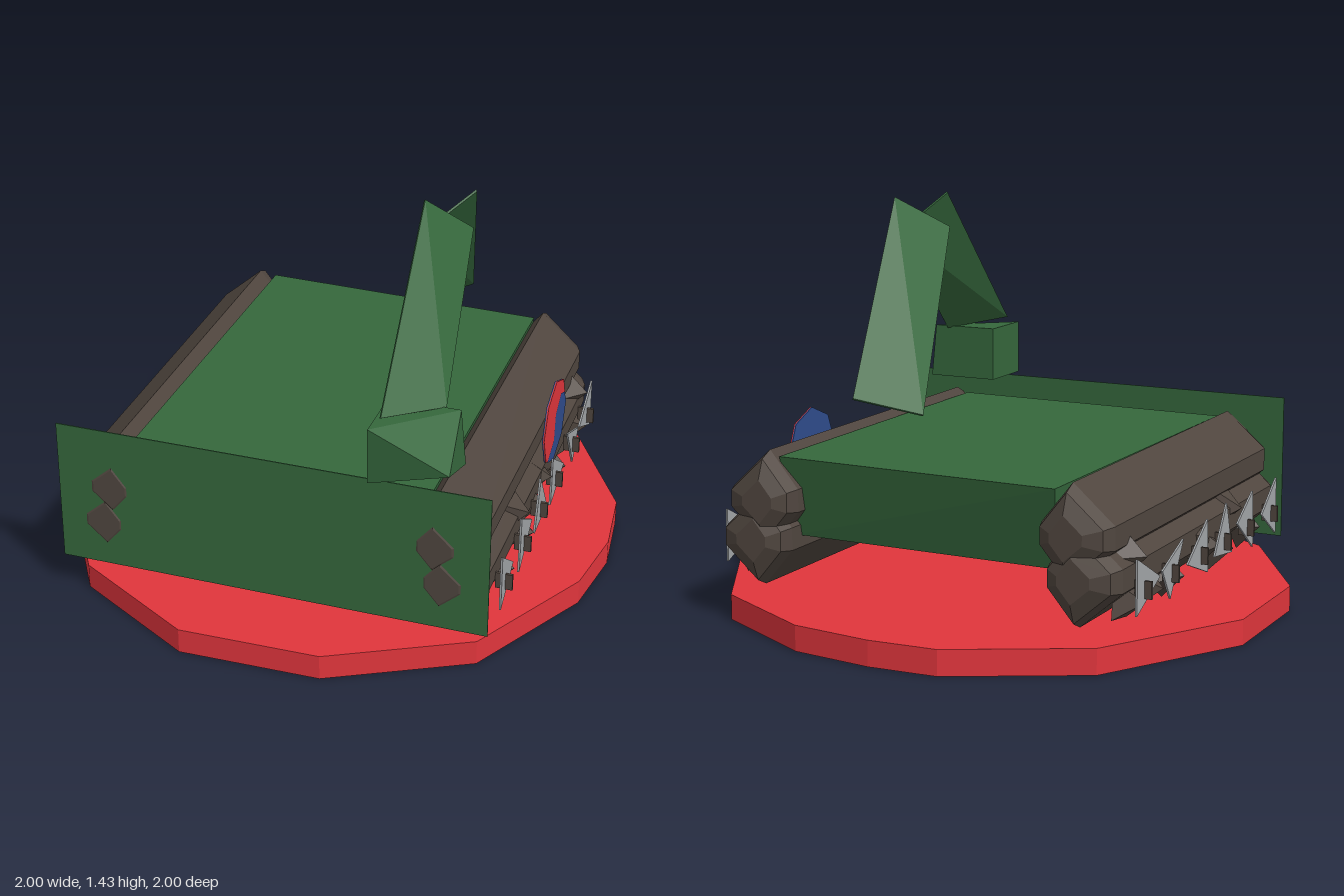
import * as THREE from 'three';
import { ConvexGeometry } from 'three/addons/geometries/ConvexGeometry.js';

const paint = (name, color) => {
  const m = new THREE.MeshStandardMaterial({ color, side: THREE.DoubleSide });
  m.name = name;
  return m;
};
const V = (p) => new THREE.Vector3(...p);
const hull = (pts) => new ConvexGeometry(pts.map(V));

export function createModel() {
  const model = new THREE.Group();
  model.name = 'trackedExcavator';
  const green = paint('bodyGreen', 0x35673c);
  const red = paint('baseRed', 0xe0353c);
  const brown = paint('trackBrown', 0x50463f);
  const grey = paint('plateGrey', 0xa2a5a8);
  const blue = paint('emblemBlue', 0x2f4c8c);

  const add = (name, geometry, material, pos = [0, 0, 0], parent = model) => {
    const mesh = new THREE.Mesh(geometry, material);
    mesh.name = name;
    mesh.position.set(...pos);
    parent.add(mesh);
    return mesh;
  };
  const polygon = (pts) => new THREE.Shape(pts.map(([a, b]) => new THREE.Vector2(a, b)));

  // Base: a low irregular disc
  const rim = [[-0.25, 0.99], [0, 1], [0.3, 0.96], [0.7, 0.74], [0.97, 0.27], [1, 0], [0.96, -0.28],
    [0.72, -0.74], [0.25, -0.99], [-0.25, -1], [-0.7, -0.74], [-1, -0.24], [-1, 0.23], [-0.7, 0.75]];
  const base = new THREE.ExtrudeGeometry(polygon(rim), { depth: 0.09, bevelEnabled: false });
  base.rotateX(-Math.PI / 2);
  add('base', base, red);

  // Body between the tracks, undercut at the back and front
  add('body', hull([
    [-0.53, 0.585, -0.71], [0.53, 0.585, -0.68], [0.53, 0.585, 0.71], [-0.54, 0.585, 0.69],
    [-0.5, 0.3, -0.64], [0.5, 0.3, -0.62], [0.5, 0.3, 0.64], [-0.5, 0.3, 0.64],
  ]), green);

  // Front blade
  add('blade', new THREE.BoxGeometry(1.54, 0.53, 0.004), green, [-0.01, 0.397, 0.758]);

  // Track bar: a faceted bar with a sharp ridge and tapered ends
  const rings = [[0.45, 0.763], [0.86, 0.735], [1, 0.685]];
  const trackBar = (inner, outer) => hull(rings.flatMap(([r, z]) =>
    [[0, 0.17], [outer, 0.03], [outer, -0.04], [0, -0.17], [-inner, -0.04], [-inner, 0.04]]
      .flatMap(([x, y]) => [[x * r, y * r, z], [x * r, y * r, -z]])));

  // Corners of the armour plates as [z, y]
  const plates = [
    [[0.65, 0.38], [0.65, 0.17], [0.5, 0.27]],
    [[0.4, 0.38], [0.41, 0.17], [0.25, 0.29]],
    [[0.14, 0.39], [0.2, 0.2], [0.03, 0.22]],
    [[-0.04, 0.37], [-0.03, 0.18], [-0.22, 0.25]],
    [[-0.26, 0.35], [-0.37, 0.17], [-0.44, 0.28]],
    [[-0.65, 0.37], [-0.65, 0.18], [-0.46, 0.27]],
  ];
  // Track studs as [z, y]
  const studs = [[0.48, 0.23], [0.29, 0.34], [0.21, 0.21], [0.08, 0.25], [-0.03, 0.3],
    [-0.25, 0.22], [-0.43, 0.22], [-0.57, 0.36], [-0.58, 0.21]];
  const studShape = new THREE.ConeGeometry(0.09, 0.09, 4).toNonIndexed();
  studShape.computeVertexNormals();

  for (const side of [-1, 1]) {
    const track = new THREE.Group();
    track.name = side > 0 ? 'leftTrack' : 'rightTrack';
    track.position.x = -0.01;
    model.add(track);
    const [inner, outer] = [0.11, 0.15];
    const bar = side > 0 ? trackBar(inner, outer) : trackBar(outer, inner);
    add('upperTrackBar', bar, brown, [side * 0.573, 0.438, 0], track);
    add('lowerTrackBar', bar, brown, [side * 0.6, 0.3, 0], track);
    plates.forEach((tri) => {
      const pts = tri.flatMap(([z, y]) => [0.778, 0.785].map((x) => [side * x, y, z]));
      add('armourPlate', hull(pts), grey, [0, 0, 0], track);
      // Small bolt through each plate
      const z = (tri[0][0] + tri[1][0] + tri[2][0]) / 3;
      add('bolt', new THREE.BoxGeometry(0.06, 0.06, 0.01), brown, [side * 0.78, 0.255, z], track);
    });
    studs.forEach(([z, y], i) => {
      const stud = add('stud', studShape, brown, [side * 0.74, y, z], track);
      stud.rotation.set(i * 0.9, 0, -side * Math.PI / 2);
    });
  }

  // Two-coloured disc on the left track, with a blue back
  const disc = new THREE.CylinderGeometry(0.158, 0.158, 0.004, 8);
  disc.rotateZ(-Math.PI / 2);
  add('emblemFace', disc, red, [0.756, 0.485, -0.11]);
  add('emblemBack', disc, blue, [0.752, 0.485, -0.11]);
  const half = new THREE.ShapeGeometry(polygon([[-0.01, 0.365], [-0.1, 0.41], [-0.11, 0.51],
    [-0.18, 0.56], [-0.235, 0.54], [-0.267, 0.485], [-0.222, 0.373], [-0.11, 0.327]]));
  half.rotateY(-Math.PI / 2);
  add('emblemHalf', half, blue, [0.76, 0, 0]);

  // Arm: two thin slabs meeting at the elbow
  const slab = (name, corners) => {
    const p = corners.map(V);
    const n = p[1].clone().sub(p[0]).cross(p[3].clone().sub(p[0])).setLength(0.004);
    add(name, new ConvexGeometry(p.flatMap((q) => [q.clone().add(n), q.clone().sub(n)])), green);
  };
  slab('rearArm', [[0.12, 0.715, -0.4], [0.33, 0.775, -0.52], [0.488, 1.415, 0.06], [0.34, 1.3, 0.21]]);
  slab('frontArm', [[0.38, 0.895, 0.76], [0.545, 0.865, 0.57], [0.485, 1.285, 0.08], [0.355, 1.428, 0.22]]);

  // Bucket: a block whose outer front edge is drawn together to a point
  add('bucket', hull([
    [0.35, 0.87, 0.58], [0.6, 0.87, 0.58], [0.35, 0.67, 0.58], [0.62, 0.67, 0.58],
    [0.35, 0.87, 0.8], [0.35, 0.67, 0.8], [0.635, 0.765, 0.83],
  ]), green);

  return model;
}
